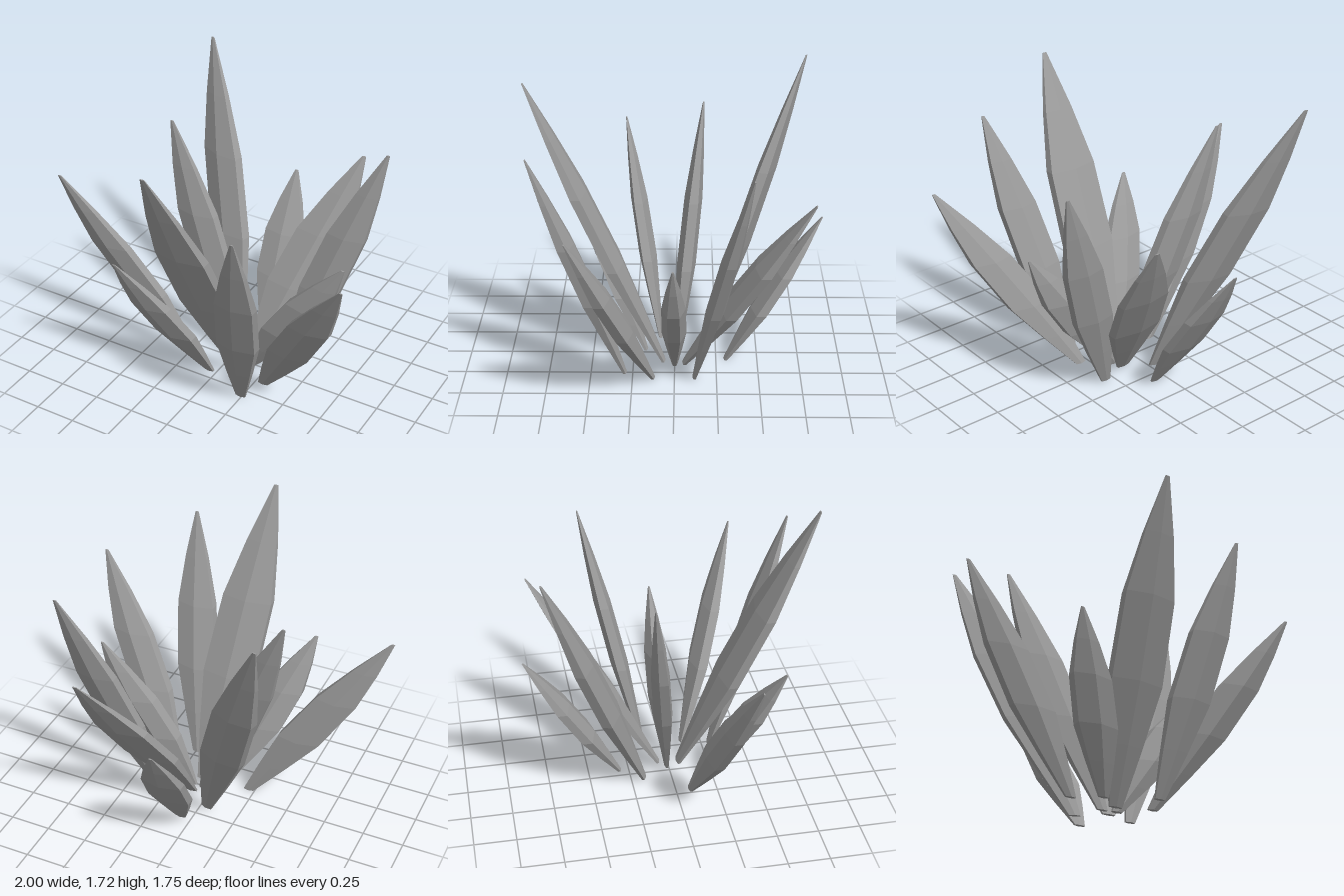
import * as THREE from 'three';

// Blade profile: [height fraction, width fraction]
const PROFILE = [[0, 0.25], [0.18, 0.64], [0.37, 1], [0.63, 0.96], [0.82, 0.57], [1, 0.08]];
const SIDES = 6;

// Each leaf: base x, z; tip x, y, z; half width, half thickness, turn of the cross-section
const LEAVES = [
  [-0.04, -0.17, -0.59, 1.72, -0.79, 0.14, 0.06, 0.25],
  [0.12, -0.06, 0.47, 1.18, -0.79, 0.165, 0.06, 0],
  [0.07, -0.31, -0.025, 0.9, -0.87, 0.13, 0.06, 0],
  [0.30, -0.12, 0.78, 1.45, -0.43, 0.125, 0.055, 0],
  [0.14, 0, 0.735, 0.9, 0.005, 0.13, 0.073, 0],
  [0.30, 0.13, 0.99, 1.18, 0.57, 0.13, 0.06, 0],
  [0.24, 0.30, 0.475, 1.45, 0.815, 0.125, 0.06, 0],
  [0.09, 0.07, -0.025, 1.72, 0.87, 0.165, 0.06, 0],
  [-0.05, 0.18, -0.425, 0.9, 0.605, 0.125, 0.06, 0],
  [-0.21, 0.09, -0.99, 1.18, 0.32, 0.13, 0.055, 0],
  [0.05, -0.01, -0.505, 1.45, -0.17, 0.13, 0.057, 0],
];

// Leaning blade made of level six-sided sections from base to tip
function leafGeometry([bx, bz, tx, ty, tz, halfWidth, halfDepth, turn]) {
  const positions = [], index = [];
  const c = Math.cos(turn), s = Math.sin(turn);
  for (const [t, r] of PROFILE) {
    for (let i = 0; i < SIDES; i++) {
      const a = Math.PI / 6 + (i / SIDES) * Math.PI * 2;
      const u = (Math.cos(a) / Math.cos(Math.PI / 6)) * halfWidth * r;
      const v = Math.sin(a) * halfDepth * r;
      positions.push(bx + (tx - bx) * t + u * c - v * s, ty * t, bz + (tz - bz) * t + u * s + v * c);
    }
  }
  const last = (PROFILE.length - 1) * SIDES;
  for (let k = 0; k < last; k += SIDES) {
    for (let i = 0; i < SIDES; i++) {
      const j = (i + 1) % SIDES;
      index.push(k + i, k + SIDES + i, k + j, k + j, k + SIDES + i, k + SIDES + j);
    }
  }
  // End caps
  for (let i = 1; i < SIDES - 1; i++) {
    index.push(0, i, i + 1, last, last + i + 1, last + i);
  }
  const geometry = new THREE.BufferGeometry();
  geometry.setAttribute('position', new THREE.Float32BufferAttribute(positions, 3));
  geometry.setIndex(index);
  const flat = geometry.toNonIndexed();
  flat.computeVertexNormals();
  return flat;
}

export function createModel() {
  const group = new THREE.Group();
  group.name = 'spikyPlant';
  const leafGray = new THREE.MeshStandardMaterial({ color: 0x9a9a9a });
  leafGray.name = 'leafGray';
  LEAVES.forEach((leaf, i) => {
    const mesh = new THREE.Mesh(leafGeometry(leaf), leafGray);
    mesh.name = `leaf${i + 1}`;
    group.add(mesh);
  });
  return group;
}
